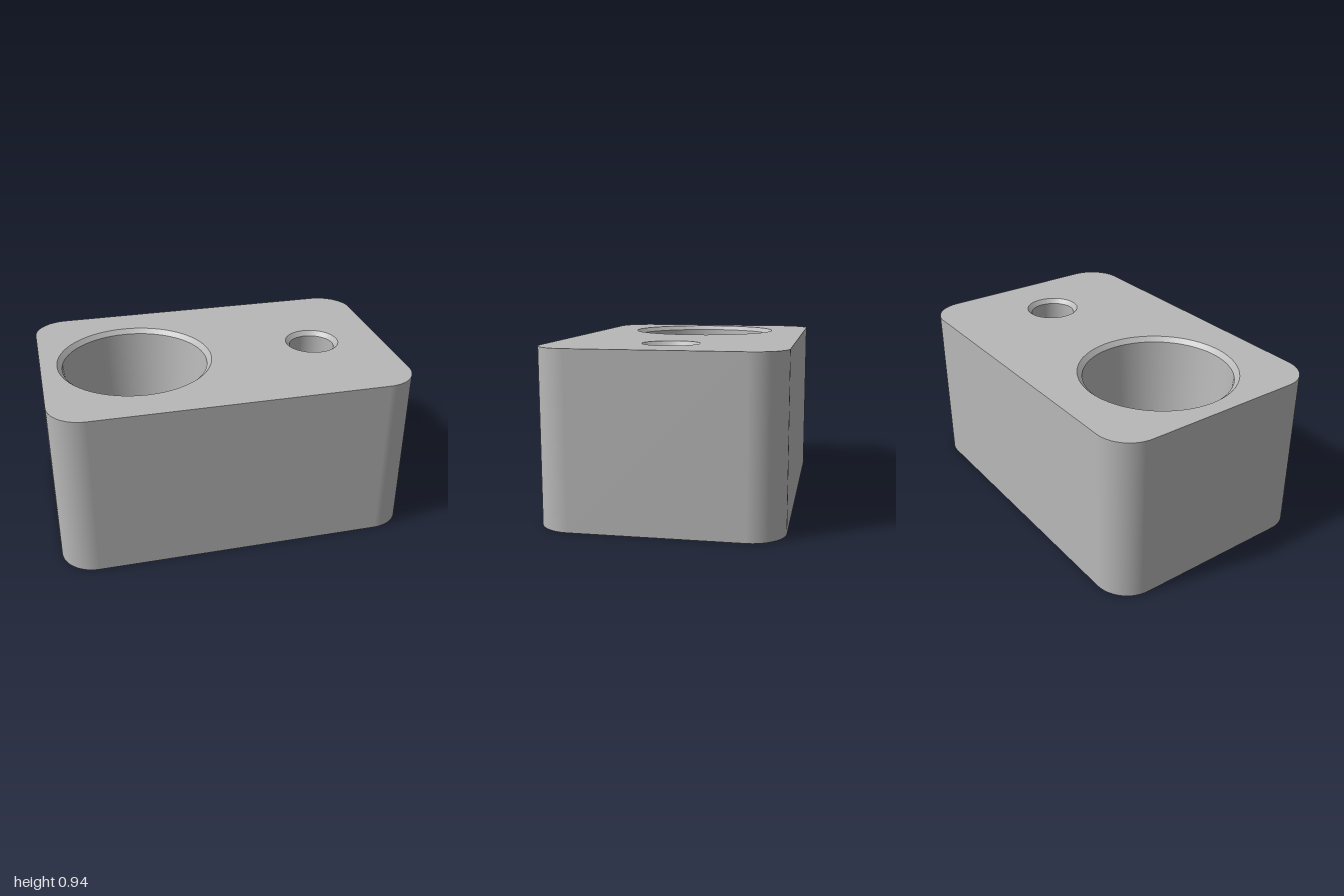
import * as THREE from 'three';

const W = 2, H = 0.94, D = 1.29, CORNER = 0.19, CHAMFER = 0.025;

// Pockets: position along x, rim radius, radius under the chamfer, floor radius, floor height
const pockets = [
  { name: 'largePocket', x: -0.47, rim: 0.437, top: 0.41, floor: 0.34, y: 0.14 },
  { name: 'smallPocket', x: 0.588, rim: 0.155, top: 0.13, floor: 0.128, y: 0.14 },
];

function roundedRect(w, d, r) {
  const x = w / 2, y = d / 2, s = new THREE.Shape();
  s.moveTo(-x + r, -y).lineTo(x - r, -y).absarc(x - r, -y + r, r, -Math.PI / 2, 0);
  s.lineTo(x, y - r).absarc(x - r, y - r, r, 0, Math.PI / 2);
  s.lineTo(-x + r, y).absarc(-x + r, y - r, r, Math.PI / 2, Math.PI);
  s.lineTo(-x, -y + r).absarc(-x + r, -y + r, r, Math.PI, Math.PI * 1.5);
  return s;
}

// Flat horizontal face, turned up or down
function flatFace(shape, up) {
  return new THREE.ShapeGeometry(shape, 32).rotateX(up ? -Math.PI / 2 : Math.PI / 2);
}

// Vertical wall following an outline, with smooth normals around the corners
function outlineWall(w, d, r, h) {
  const pos = [], nor = [], idx = [], n = 16;
  for (let c = 0; c <= 4; c++) {
    const q = c % 4;
    const cx = (q === 0 || q === 3 ? 1 : -1) * (w / 2 - r);
    const cz = (q < 2 ? 1 : -1) * (d / 2 - r);
    for (let i = 0; i <= (c === 4 ? 0 : n); i++) {
      const a = (q + i / n) * Math.PI / 2;
      for (const y of [0, h]) {
        pos.push(cx + r * Math.cos(a), y, cz + r * Math.sin(a));
        nor.push(Math.cos(a), 0, Math.sin(a));
      }
    }
  }
  for (let k = 0; k + 3 < pos.length / 3; k += 2) idx.push(k, k + 1, k + 2, k + 1, k + 3, k + 2);
  const g = new THREE.BufferGeometry();
  g.setAttribute('position', new THREE.Float32BufferAttribute(pos, 3));
  g.setAttribute('normal', new THREE.Float32BufferAttribute(nor, 3));
  g.setIndex(idx);
  return g;
}

export function createModel() {
  const model = new THREE.Group();
  model.name = 'holderBlock';
  const grey = new THREE.MeshStandardMaterial({ color: 0xb8b8b8, side: THREE.DoubleSide });
  grey.name = 'grey';

  const add = (name, geometry, parent = model) => {
    const mesh = new THREE.Mesh(geometry, grey);
    mesh.name = name;
    parent.add(mesh);
    return mesh;
  };

  // Block shell: outer wall, underside and the top pierced by both pockets
  add('outerWall', outlineWall(W, D, CORNER, H));
  add('underside', flatFace(roundedRect(W, D, CORNER), false));
  const top = roundedRect(W, D, CORNER);
  for (const p of pockets) {
    top.holes.push(new THREE.Path().absarc(p.x, 0, p.rim, 0, Math.PI * 2, true));
  }
  add('topFace', flatFace(top, true)).position.y = H;

  // Pockets: chamfered rim, tapered wall and flat floor
  for (const p of pockets) {
    const pocket = new THREE.Group();
    pocket.name = p.name;
    pocket.position.x = p.x;
    model.add(pocket);
    const ring = (r0, y0, r1, y1) =>
      new THREE.LatheGeometry([new THREE.Vector2(r0, y0), new THREE.Vector2(r1, y1)], 64);
    add('chamfer', ring(p.rim, H, p.top, H - CHAMFER), pocket);
    add('pocketWall', ring(p.top, H - CHAMFER, p.floor, p.y), pocket);
    const floor = add('pocketFloor', new THREE.CircleGeometry(p.floor, 64).rotateX(-Math.PI / 2), pocket);
    floor.position.y = p.y;
  }
  return model;
}
